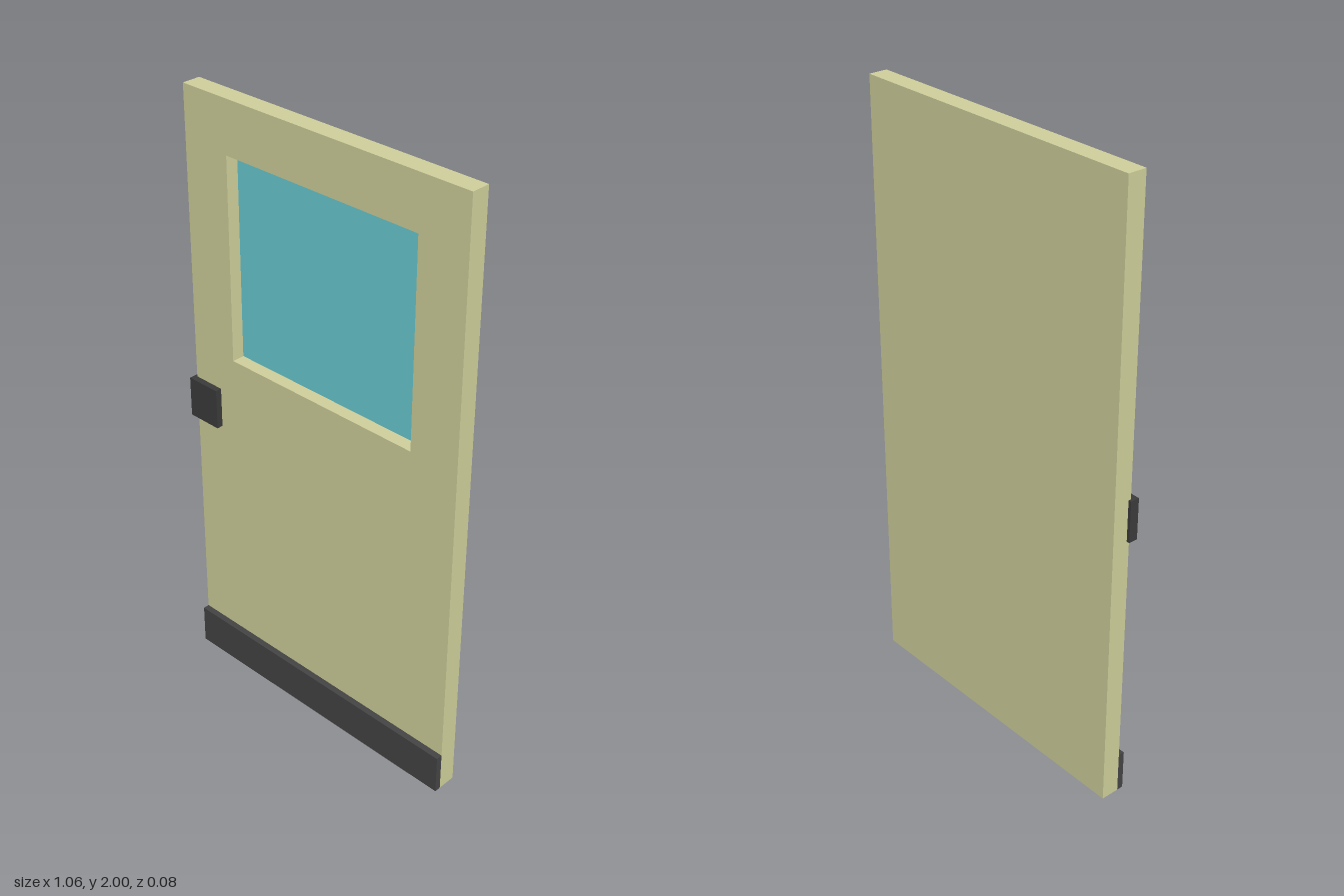
import * as THREE from 'three';

const LEFT = -0.518, RIGHT = 0.528, HEIGHT = 2;
const BACK = -0.041, FRONT = 0.02, RECESS = -0.023, PROUD = 0.041;

const paint = (color) => new THREE.MeshStandardMaterial({ color });

// Box given by its lower and upper corner
function block(name, [x0, y0, z0], [x1, y1, z1], material) {
  const geometry = new THREE.BoxGeometry(x1 - x0, y1 - y0, z1 - z0);
  geometry.translate((x0 + x1) / 2, (y0 + y1) / 2, (z0 + z1) / 2);
  const mesh = new THREE.Mesh(geometry, material);
  mesh.name = name;
  return mesh;
}

// Points of an upright rectangle
function rectangle(x0, y0, x1, y1) {
  return [[x0, y0], [x1, y0], [x1, y1], [x0, y1]].map(([x, y]) => new THREE.Vector2(x, y));
}

export function createModel() {
  const door = new THREE.Group();
  door.name = 'door';
  const cream = paint(0xcccc99);

  // Front layer of the leaf, with the window opening
  const outline = new THREE.Shape(rectangle(LEFT, 0, RIGHT, HEIGHT));
  outline.holes.push(new THREE.Path(rectangle(-0.35, 1.17, 0.36, 1.832)));
  const leaf = new THREE.ExtrudeGeometry(outline, { depth: FRONT - RECESS, bevelEnabled: false });
  leaf.translate(0, 0, RECESS);
  const doorLeaf = new THREE.Mesh(leaf, cream);
  doorLeaf.name = 'doorLeaf';
  door.add(doorLeaf);

  // Closed back of the leaf
  door.add(block('backPanel', [LEFT, 0, BACK], [RIGHT, HEIGHT, RECESS], cream));

  // Pane at the bottom of the window recess
  door.add(block('windowPane', [-0.35, 1.17, RECESS - 0.004], [0.36, 1.832, RECESS + 0.001], paint(0x66c8d0)));

  // Kick plate along the foot, lock plate overhanging the edge
  door.add(block('kickPlate', [LEFT, 0, FRONT], [RIGHT, 0.136, PROUD], paint(0x444344)));
  door.add(block('lockPlate', [-0.528, 0.912, 0.011], [-0.41, 1.047, PROUD], paint(0x3a3a3a)));

  return door;
}
